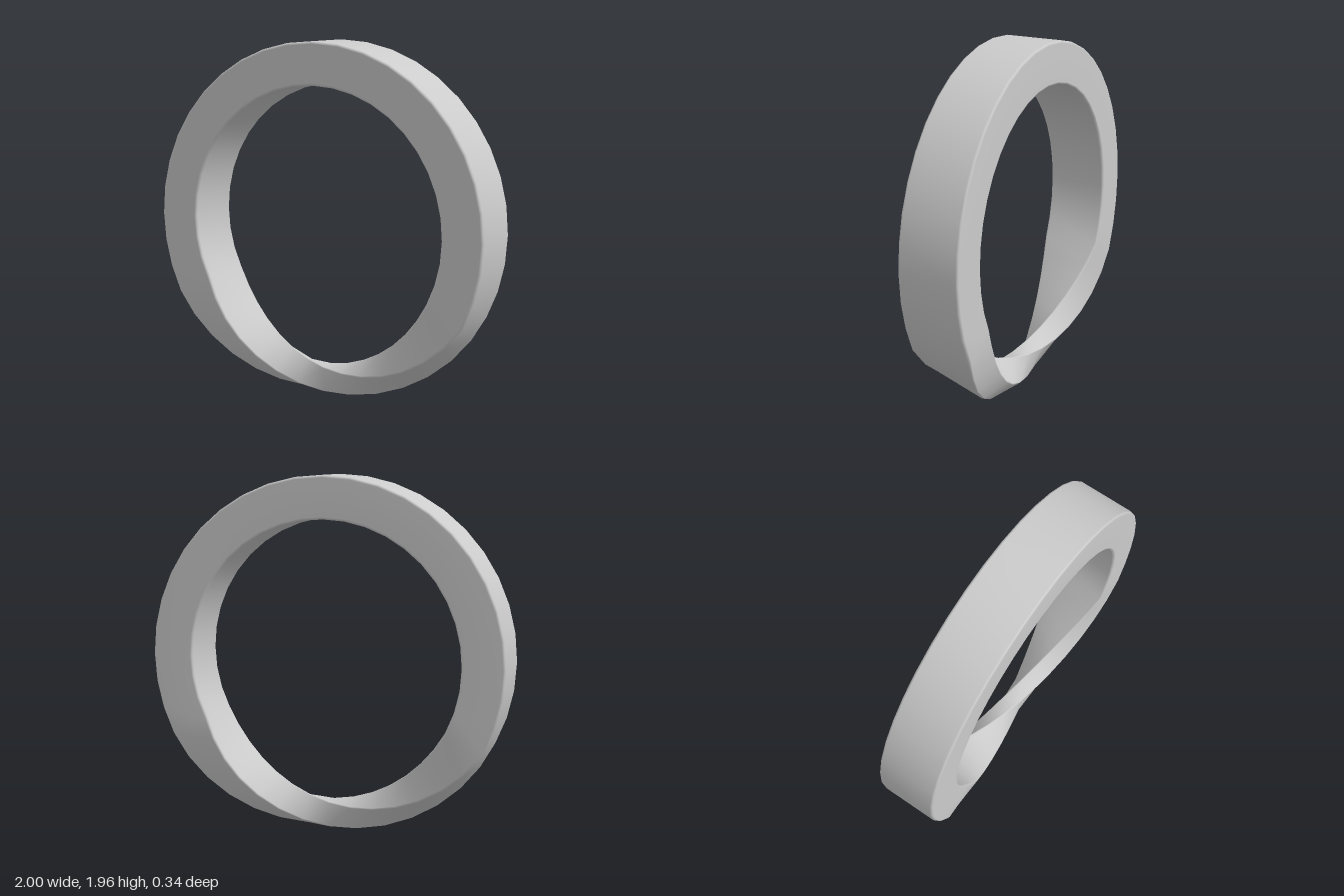
import * as THREE from 'three';

const MID = 0.8825;          // radius of the band's centre line
const HALF_R = 0.1175;       // half thickness, radially
const HALF_Z = 0.17;         // half width, along z
const CENTRE_Y = 0.966;
const STEPS = 40;
const TWIST = THREE.MathUtils.degToRad(62); // twist reaches this far either side of the bottom

// Rectangle with small rounded corners, counter-clockwise in (radial, z)
function bandSection() {
  const bevel = 0.014, cornerSteps = 2, pts = [];
  const corners = [[1, -1], [1, 1], [-1, 1], [-1, -1]];
  corners.forEach(([sr, sz], k) => {
    for (let i = 0; i <= cornerSteps; i++) {
      const a = (k - 1 + i / cornerSteps) * Math.PI / 2;
      pts.push([
        sr * (HALF_R - bevel) + bevel * Math.cos(a),
        sz * (HALF_Z - bevel) + bevel * Math.sin(a),
      ]);
    }
  });
  return pts;
}

// Half-turn twist that also pinches the section: c keeps it upright, d turns it a quarter
function twistAt(phi) {
  const u = THREE.MathUtils.clamp(phi / TWIST, -1, 1);
  return { c: -(1.2 * u - 0.2 * u ** 3), d: 0.415 * (1 - u * u) };
}

function twistedRingGeometry() {
  const section = bandSection(), n = section.length;
  const positions = [], index = [];
  for (let i = 0; i < STEPS; i++) {
    const phi = -Math.PI + (i / STEPS) * Math.PI * 2; // 0 is the bottom
    const { c, d } = twistAt(phi);
    for (const [pr, pz] of section) {
      const r = MID + c * pr + d * pz;
      const z = c * pz - d * pr;
      positions.push(r * Math.sin(phi), CENTRE_Y - r * Math.cos(phi), z);
    }
  }
  // The last section joins the first after a half turn
  const id = (i, j) => (i < STEPS ? i * n + (j % n) : (j + n / 2) % n);
  for (let i = 0; i < STEPS; i++) {
    for (let j = 0; j < n; j++) {
      const a = id(i, j), b = id(i + 1, j), e = id(i + 1, j + 1), f = id(i, j + 1);
      index.push(a, b, e, a, e, f);
    }
  }
  const geometry = new THREE.BufferGeometry();
  geometry.setAttribute('position', new THREE.Float32BufferAttribute(positions, 3));
  geometry.setIndex(index);
  geometry.computeVertexNormals();
  return geometry;
}

export function createModel() {
  const group = new THREE.Group();
  group.name = 'twistedRing';
  const band = new THREE.Mesh(
    twistedRingGeometry(),
    new THREE.MeshStandardMaterial({ color: 0xcccccc })
  );
  band.name = 'band';
  group.add(band);
  return group;
}
